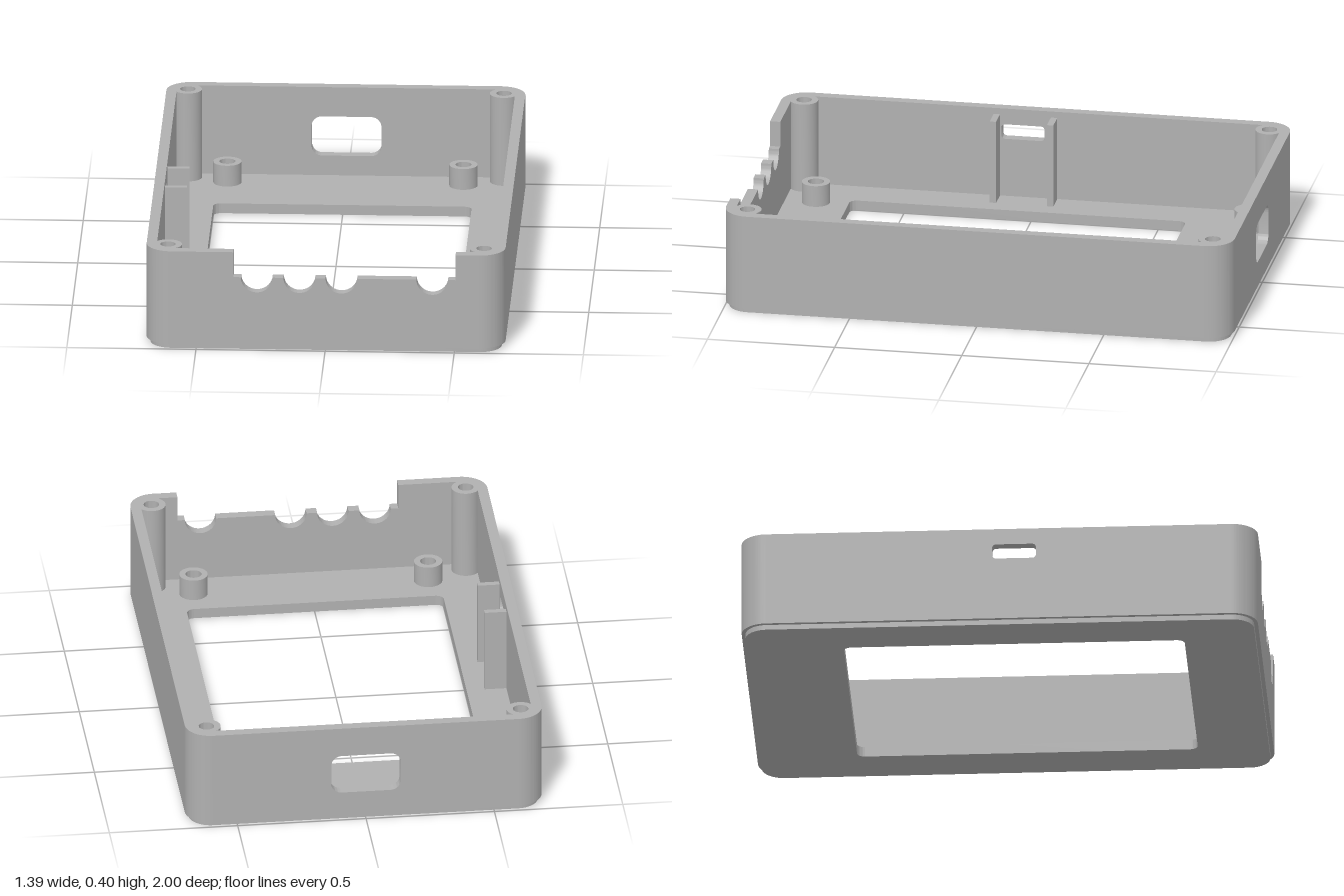
import * as THREE from 'three';
import { toCreasedNormals } from 'three/addons/utils/BufferGeometryUtils.js';

const HX = 0.695, HZ = 1, TOP = 0.4, T = 0.04, R = 0.1, LIP = 0.02, FLOOR = 0.04;

// Rounded rectangle from opposite corners
function roundRect(x0, y0, x1, y1, r, Type = THREE.Shape) {
  const s = new Type();
  s.absarc(x1 - r, y1 - r, r, 0, Math.PI / 2);
  s.absarc(x0 + r, y1 - r, r, Math.PI / 2, Math.PI);
  s.absarc(x0 + r, y0 + r, r, Math.PI, Math.PI * 1.5);
  s.absarc(x1 - r, y0 + r, r, Math.PI * 1.5, Math.PI * 2);
  s.closePath();
  return s;
}

const extrude = (shape, depth) => toCreasedNormals(
  new THREE.ExtrudeGeometry(shape, { depth, bevelEnabled: false, curveSegments: 16 }), 0.5);

// Plan shape (x, -z) raised from y0 to y1
const raise = (shape, y0, y1) => extrude(shape, y1 - y0).rotateX(-Math.PI / 2).translate(0, y0, 0);

// Screw post with a central bore
function post(r, bore, y0, y1) {
  const s = new THREE.Shape().absarc(0, 0, r, 0, Math.PI * 2);
  s.holes.push(new THREE.Path().absarc(0, 0, bore, 0, Math.PI * 2));
  return raise(s, y0, y1);
}

// Straight wall outline between the rounded corners
function wallShape(half) {
  return new THREE.Shape().moveTo(-half, LIP).lineTo(half, LIP).lineTo(half, TOP).lineTo(-half, TOP).closePath();
}

export function createModel() {
  const group = new THREE.Group();
  const grey = new THREE.MeshStandardMaterial({ color: 0xb0b0b0 });
  grey.name = 'grey plastic';
  const add = (name, geometry, x = 0, y = 0, z = 0, ry = 0) => {
    const m = new THREE.Mesh(geometry, grey);
    m.name = name;
    m.position.set(x, y, z);
    m.rotation.y = ry;
    group.add(m);
  };

  // Floor with the large window; its rim forms the recessed lip below the walls
  const inset = 0.015;
  const floor = roundRect(-HX + inset, -HZ + inset, HX - inset, HZ - inset, R - inset);
  floor.holes.push(roundRect(-0.5, -0.71, 0.5, 0.61, 0.03, THREE.Path));
  add('floor', raise(floor, 0, FLOOR));

  // Front wall with the stepped cutout and four cable notches
  const w = HX - R, step = 0.298, nr = 0.061;
  const front = new THREE.Shape().moveTo(-w, LIP).lineTo(w, LIP).lineTo(w, TOP).lineTo(0.505, TOP).lineTo(0.505, step);
  for (const x of [0.415, 0.063, -0.1, -0.265]) {
    front.lineTo(x + nr, step);
    front.absarc(x, step, nr, 0, -Math.PI, true);
  }
  front.lineTo(-0.355, step).lineTo(-0.355, TOP).lineTo(-w, TOP).closePath();
  add('frontWall', extrude(front, T), 0, 0, HZ - T);

  // Back wall with its rounded port
  const back = wallShape(w);
  back.holes.push(roundRect(-0.135, 0.12, 0.135, 0.28, 0.04, THREE.Path));
  add('backWall', extrude(back, T), 0, 0, -HZ);

  // Side walls, the right one with a small slot
  const right = wallShape(HZ - R);
  right.holes.push(roundRect(-0.025, 0.275, 0.145, 0.335, 0.015, THREE.Path));
  add('rightWall', extrude(right, T), -HX + T, 0, 0, -Math.PI / 2);
  add('leftWall', extrude(wallShape(HZ - R), T), HX, 0, 0, -Math.PI / 2);

  // Rounded wall corners
  const arc = new THREE.Shape();
  arc.absarc(0, 0, R, 0, Math.PI / 2);
  arc.absarc(0, 0, R - T, Math.PI / 2, 0, true);
  arc.closePath();
  const corner = raise(arc, LIP, TOP);
  [[1, -1], [-1, -1], [-1, 1], [1, 1]].forEach(([sx, sz], i) =>
    add('wallCorner', corner, sx * (HX - R), 0, sz * (HZ - R), i * Math.PI / 2));

  // Tall corner posts and short standoffs
  const tall = post(0.055, 0.03, FLOOR, TOP);
  const short = post(0.055, 0.031, FLOOR, 0.125);
  for (const sx of [-1, 1]) {
    for (const z of [-0.917, 0.913]) add('cornerPost', tall, sx * 0.612, 0, z);
    for (const z of [-0.863, 0.838]) add('standoff', short, sx * 0.457, 0, z);
  }

  // Pair of guide ribs beside the slot
  const rib = new THREE.BoxGeometry(0.09, 0.335, 0.025);
  for (const z of [-0.062, 0.163]) add('guideRib', rib, -0.615, FLOOR + 0.1675, z);

  return group;
}
